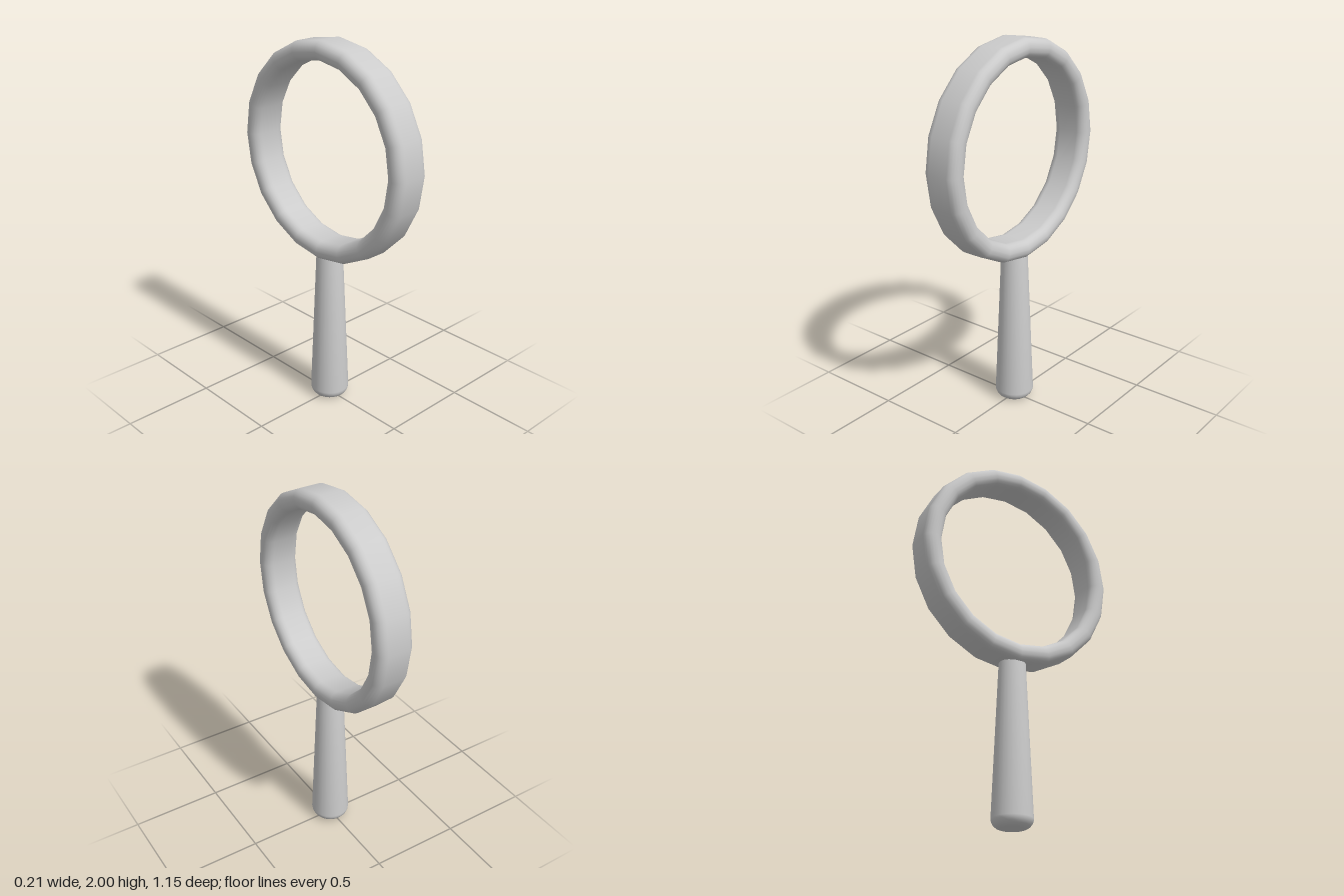
import * as THREE from 'three';

const material = new THREE.MeshStandardMaterial({ color: 0xcccccc });

// Points on a quarter-circle (or any arc) in the profile plane
function arc(cx, cy, r, from, to, steps) {
  return Array.from({ length: steps + 1 }, (_, i) => {
    const a = from + ((to - from) * i) / steps;
    return new THREE.Vector2(cx + r * Math.cos(a), cy + r * Math.sin(a));
  });
}

function lathe(name, points, sides) {
  const mesh = new THREE.Mesh(new THREE.LatheGeometry(points, sides), material);
  mesh.name = name;
  return mesh;
}

export function createModel() {
  const group = new THREE.Group();
  const q = Math.PI / 2;

  // Open ring: rounded band swept round 20 sides, its axis along x
  const outer = 0.575, inner = 0.475, half = 0.1, r = 0.046;
  const start = new THREE.Vector2(outer, 0);
  const band = [
    start,
    ...arc(outer - r, half - r, r, 0, q, 5),
    ...arc(inner + r, half - r, r, q, 2 * q, 5),
    ...arc(inner + r, r - half, r, 2 * q, 3 * q, 5),
    ...arc(outer - r, r - half, r, 3 * q, 4 * q, 5),
    start.clone(),
  ];
  const ring = lathe('ring', band, 20);
  ring.rotation.z = q;
  ring.position.y = 1.425;
  group.add(ring);

  // Tapered handle with a rounded foot, its top sunk into the ring
  const handle = lathe('handle', [
    new THREE.Vector2(0, 0),
    ...arc(0.055, 0.05, 0.05, -q, 0, 6),
    new THREE.Vector2(0.07, 0.88),
    new THREE.Vector2(0, 0.9),
  ], 24);
  group.add(handle);

  return group;
}
